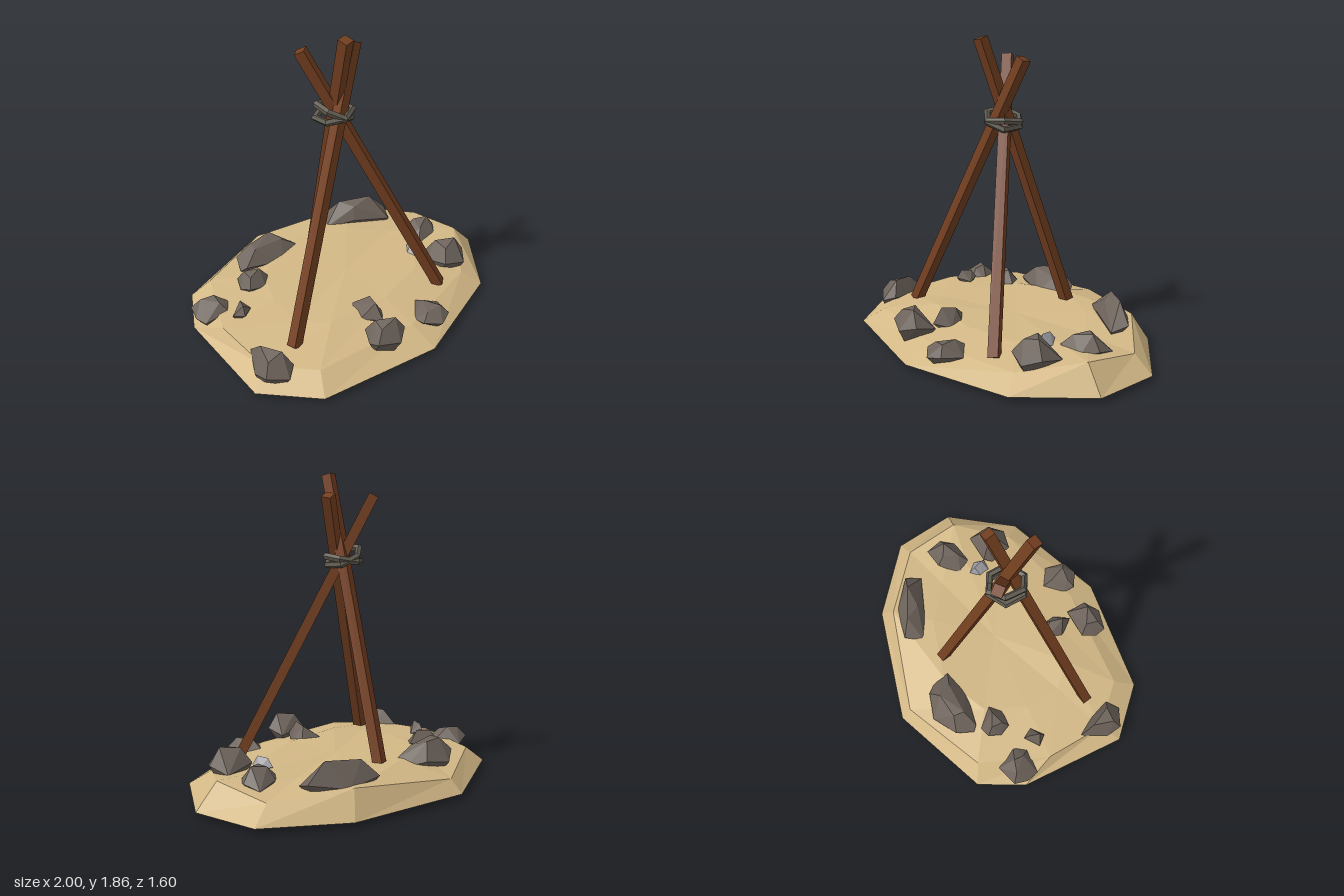
import * as THREE from 'three';
import { ConvexGeometry } from 'three/addons/geometries/ConvexGeometry.js';

const material = (name, color, extra = {}) => {
  const m = new THREE.MeshStandardMaterial({ color, flatShading: true, ...extra });
  m.name = name;
  return m;
};

export function createModel() {
  const sand = material('sand', 0xd3b886, { side: THREE.DoubleSide });
  const wood = material('wood', 0x743f20);
  const stone = material('stone', 0x6d635b);
  const paleStone = material('pale stone', 0xa3a3a8);
  const rope = material('rope', 0x625d52);

  const model = new THREE.Group();
  model.name = 'campfireTripod';
  const add = (name, geometry, mat, parent = model) => {
    const mesh = new THREE.Mesh(geometry, mat);
    mesh.name = name;
    parent.add(mesh);
    return mesh;
  };

  // Sand mound: an open shell of three rings closing on a centre point
  const foot = [[-0.2, -0.8], [0.54, -0.61], [0.95, -0.27], [1, 0.14], [0.71, 0.54],
    [0.04, 0.8], [-0.72, 0.71], [-1, 0.43], [-0.98, -0.27], [-0.83, -0.55]].map(([x, z]) => [x, 0.03, z]);
  const rim = [[-0.19, 0.11, -0.73], [0.46, 0.185, -0.54], [0.83, 0.13, -0.24], [0.86, 0.18, 0.12], [0.62, 0.11, 0.44],
    [0.02, 0.11, 0.62], [-0.65, 0.11, 0.58], [-0.88, 0.11, 0.35], [-0.9, 0.13, -0.05], [-0.72, 0.13, -0.49]];
  const crownY = [0.19, 0.19, 0.16, 0.17, 0.16, 0.16, 0.17, 0.15, 0.16, 0.17];
  const crown = rim.map(([x, , z], i) => [x * 0.6, crownY[i], z * 0.6]);
  const centre = rim.map(() => [0, 0.16, 0]);
  const rings = [foot, rim, crown, centre];
  const corners = [];
  for (let r = 0; r < 3; r++) {
    for (let i = 0; i < foot.length; i++) {
      const j = (i + 1) % foot.length;
      const [a, b, c, d] = [rings[r][i], rings[r][j], rings[r + 1][i], rings[r + 1][j]];
      corners.push(...a, ...c, ...b);
      if (r < 2) corners.push(...b, ...c, ...d);
    }
  }
  const moundGeometry = new THREE.BufferGeometry();
  moundGeometry.setAttribute('position', new THREE.Float32BufferAttribute(corners, 3));
  moundGeometry.computeVertexNormals();
  add('sandMound', moundGeometry, sand);

  // Three crossed poles, each a square beam between two points with a roll about its length
  const pole = (name, from, to, roll) => {
    const a = new THREE.Vector3(...from), b = new THREE.Vector3(...to);
    const up = b.clone().sub(a);
    const mesh = add(name, new THREE.BoxGeometry(0.062, up.length(), 0.062).rotateY(roll), wood);
    up.normalize();
    const side = up.clone().cross(new THREE.Vector3(0, 0, 1)).normalize();
    mesh.quaternion.setFromRotationMatrix(new THREE.Matrix4().makeBasis(side, up, side.clone().cross(up)));
    mesh.position.copy(a).add(b).multiplyScalar(0.5);
  };
  pole('leftPole', [0.415, 0.12, 0.435], [-0.24, 1.73, -0.1], 0.75);
  pole('rightPole', [-0.66, 0.13, 0.345], [0.065, 1.735, -0.005], 0.1);
  pole('backPole', [0.03, 0.13, -0.385], [-0.13, 1.85, 0.165], 0.2);

  // Two tilted six-sided rope loops around the crossing
  const lashing = new THREE.Group();
  lashing.name = 'lashing';
  model.add(lashing);
  [[1.365, -0.48, 0.08], [1.35, 0.14, -0.1]].forEach(([y, tiltZ, tiltX], i) => {
    const loop = add('ropeLoop' + (i + 1), new THREE.TorusGeometry(0.112, 0.021, 5, 6).rotateX(Math.PI / 2).rotateY(Math.PI / 6), rope, lashing);
    loop.position.set(-0.105, y, 0.025);
    loop.rotation.set(tiltX, 0, tiltZ);
  });

  // Rocks: a widest outline (x, z), hulled with a smaller uneven top and base
  const rock = (name, bottom, top, outline, mat = stone) => {
    const n = outline.length, h = top - bottom;
    const cx = outline.reduce((s, p) => s + p[0], 0) / n;
    const cz = outline.reduce((s, p) => s + p[1], 0) / n;
    const points = [];
    outline.forEach(([x, z], i) => {
      const at = (k, y) => points.push(new THREE.Vector3(cx + (x - cx) * k, y, cz + (z - cz) * k));
      at(1, bottom + h * (i % 2 ? 0.55 : 0.42));
      if (i % 2) at(0.5, top - h * 0.06 * (i % 3));
      else at(0.6, bottom + h * 0.04 * (i % 3));
    });
    add(name, new ConvexGeometry(points), mat);
  };
  rock('backRock', 0.06, 0.28, [[-0.53, -0.42], [-0.49, -0.53], [-0.33, -0.62], [-0.17, -0.57], [-0.09, -0.48], [-0.09, -0.4], [-0.25, -0.34], [-0.5, -0.39]]);
  rock('backLeftRock', 0.06, 0.32, [[0.18, -0.44], [0.25, -0.55], [0.46, -0.51], [0.64, -0.36], [0.6, -0.26], [0.36, -0.35]]);
  rock('backRightRock', 0.04, 0.2, [[-0.97, -0.25], [-0.95, -0.34], [-0.81, -0.38], [-0.79, -0.29], [-0.71, -0.23], [-0.79, -0.16], [-0.95, -0.17]]);
  rock('smallBackRock', 0.08, 0.25, [[-0.63, -0.27], [-0.6, -0.35], [-0.53, -0.37], [-0.43, -0.26], [-0.49, -0.19], [-0.6, -0.2]]);
  rock('smallRightRock', 0.1, 0.22, [[-0.81, -0.08], [-0.72, -0.15], [-0.68, -0.08], [-0.76, -0.02]]);
  rock('frontRightRock', 0, 0.225, [[-0.95, 0.36], [-0.87, 0.2], [-0.79, 0.31], [-0.75, 0.46], [-0.82, 0.52], [-0.94, 0.46]]);
  rock('innerRock', 0.05, 0.25, [[-0.21, 0.25], [-0.08, 0.35], [-0.06, 0.43], [-0.13, 0.52], [-0.22, 0.41]]);
  rock('frontRock', 0.06, 0.27, [[-0.32, 0.62], [-0.28, 0.53], [-0.08, 0.53], [-0.08, 0.66], [-0.17, 0.73], [-0.31, 0.69]]);
  rock('lowFrontRock', 0.05, 0.18, [[0.07, 0.58], [0.17, 0.47], [0.29, 0.56], [0.26, 0.69], [0.17, 0.73], [0.07, 0.67]]);
  rock('frontLeftRock', 0.06, 0.29, [[0.49, 0.24], [0.52, 0.19], [0.72, 0.18], [0.73, 0.33], [0.66, 0.42], [0.52, 0.39]]);
  rock('leftRock', 0.07, 0.26, [[0.51, 0], [0.63, -0.11], [0.77, -0.13], [0.79, -0.02], [0.73, 0.08], [0.57, 0.09]]);
  rock('palePebble', 0.11, 0.23, [[0.43, 0.12], [0.48, 0.06], [0.54, 0.12], [0.52, 0.19], [0.45, 0.19]], paleStone);
  return model;
}
